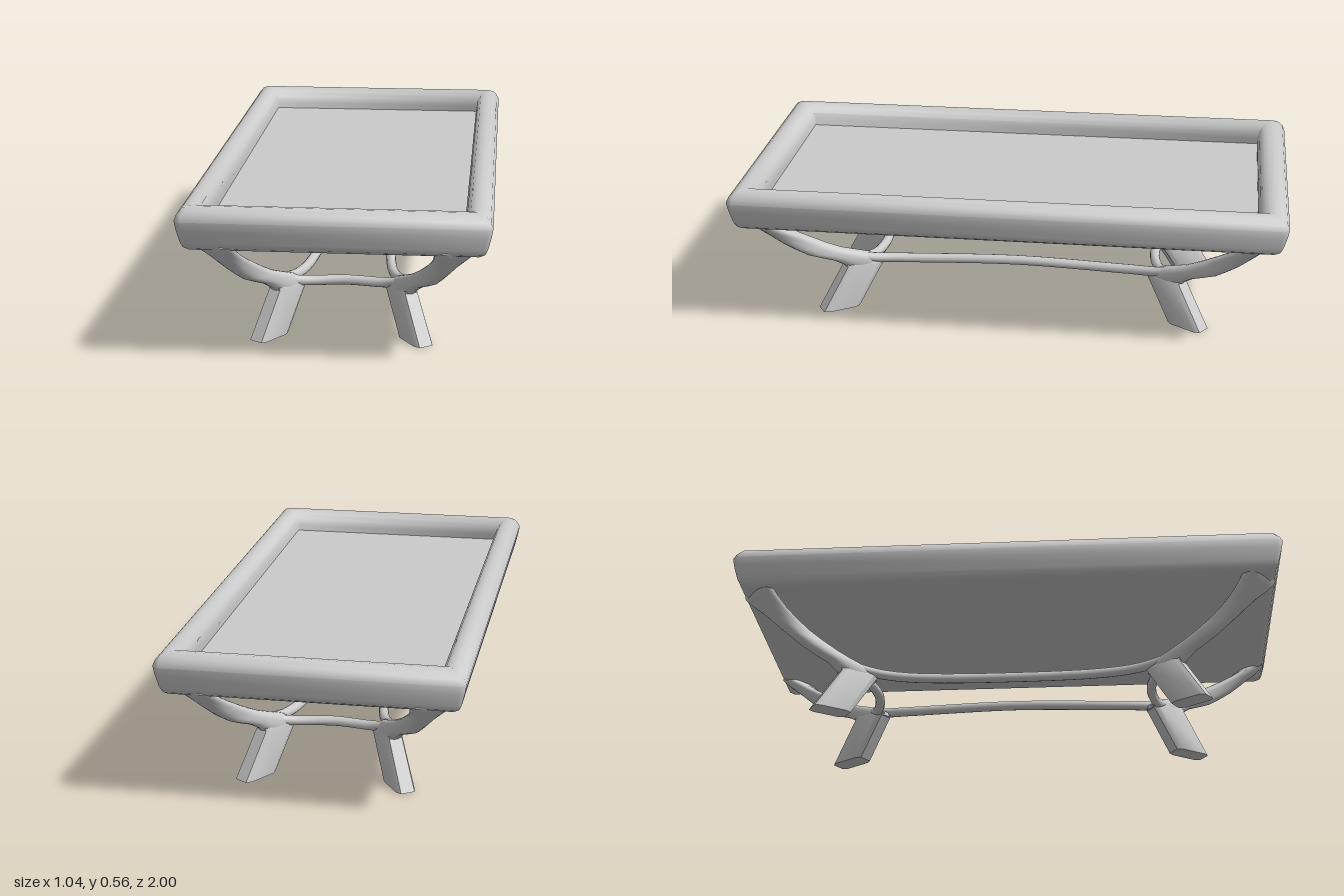
import * as THREE from 'three';
import { toCreasedNormals } from 'three/addons/utils/BufferGeometryUtils.js';

const grey = new THREE.MeshStandardMaterial({ color: 0xcccccc });

// Skin a list of closed rings; either join the last ring to the first or cap both ends
function loft(rings, closed, crease) {
  const n = rings[0].length, m = rings.length, index = [];
  const points = rings.flat();
  const rows = closed ? m : m - 1;
  for (let i = 0; i < rows; i++) {
    for (let j = 0; j < n; j++) {
      const a = i * n + j, b = i * n + (j + 1) % n;
      const k = ((i + 1) % m) * n;
      const c = k + j, d = k + (j + 1) % n;
      index.push(a, c, d, a, d, b);
    }
  }
  if (!closed) {
    const top = (m - 1) * n;
    for (let j = 1; j < n - 1; j++) {
      index.push(0, j, j + 1, top, top + j + 1, top + j);
    }
  }
  const geo = new THREE.BufferGeometry().setFromPoints(points);
  geo.setIndex(index);
  return toCreasedNormals(geo, crease);
}

function add(parent, name, geometry) {
  const mesh = new THREE.Mesh(geometry, grey);
  mesh.name = name;
  parent.add(mesh);
  return mesh;
}

// Horizontal section, long axis pointing out towards the table corner
function section([y, x, z, length, width], sx, sz, sides, power) {
  const dx = 0.55 * sx, dz = 0.835 * sz, ring = [];
  for (let j = 0; j < sides; j++) {
    const t = ((j + 0.5) / sides) * Math.PI * 2;
    const c = Math.cos(t), s = Math.sin(t);
    const u = Math.sign(c) * Math.abs(c) ** power * length / 2;
    const v = Math.sign(s) * Math.abs(s) ** power * width / 2;
    ring.push(new THREE.Vector3(x * sx + u * dx - v * dz, y, z * sz + u * dz + v * dx));
  }
  return ring;
}

// Rectangular ring of the rim, inset from the outside, with small corner chamfers
function rimRing([inset, y]) {
  const x = 0.522 - inset, z = 1 - inset * 1.13;
  const c = Math.max(0.02 - inset * 0.4, 0.0005);
  return [
    [x, -z + c], [x, z - c], [x - c, z], [-x + c, z],
    [-x, z - c], [-x, -z + c], [-x + c, -z], [x - c, -z],
  ].map(([px, pz]) => new THREE.Vector3(px, y, pz));
}

export function createModel() {
  const table = new THREE.Group();
  table.name = 'table';

  // Padded rim around the top
  const profile = [
    [0.094, 0.405], [0.04, 0.405], [0.024, 0.416], [0.016, 0.435], [0.005, 0.48], [0, 0.51],
    [0.008, 0.53], [0.022, 0.546], [0.042, 0.555], [0.06, 0.553], [0.076, 0.542],
    [0.088, 0.522], [0.094, 0.495],
  ];
  add(table, 'rim', loft(profile.map(rimRing), true, 0.85));

  // Top slab, recessed above and flush with the rim below
  add(table, 'topPanel', new THREE.BoxGeometry(0.856, 0.068, 1.788)).position.y = 0.439;

  // Curved arms and splayed legs: y, x, z, length, width per section
  const armSections = [
    [0.155, 0.198, 0.57, 0.145, 0.06], [0.172, 0.203, 0.577, 0.155, 0.068],
    [0.2, 0.23, 0.612, 0.155, 0.06], [0.22, 0.258, 0.658, 0.148, 0.056],
    [0.24, 0.286, 0.7, 0.14, 0.055], [0.27, 0.311, 0.747, 0.126, 0.056],
    [0.3, 0.333, 0.79, 0.114, 0.062], [0.33, 0.355, 0.827, 0.098, 0.08],
    [0.36, 0.376, 0.862, 0.084, 0.108], [0.39, 0.395, 0.895, 0.076, 0.145],
    [0.415, 0.41, 0.917, 0.072, 0.17], [0.43, 0.42, 0.925, 0.06, 0.12],
  ];
  const legSections = [
    [0, 0.258, 0.66, 0.148, 0.074], [0.165, 0.2, 0.573, 0.15, 0.07],
    [0.185, 0.207, 0.585, 0.13, 0.052],
  ];
  for (const sx of [1, -1]) {
    for (const sz of [1, -1]) {
      const corner = (sz > 0 ? 'front' : 'back') + (sx > 0 ? 'Left' : 'Right');
      add(table, corner + 'Arm', loft(armSections.map(s => section(s, sx, sz, 20, 0.75)), false, 0.9));
      add(table, corner + 'Leg', loft(legSections.map(s => section(s, sx, sz, 8, 0.38)), false, 0.6));
    }
  }

  // Slim rails between the legs, bowed inwards and rising into the arms
  const rail = (name, half, mirror) => {
    const path = [...half, ...half.slice(0, -1).reverse().map(mirror)];
    const curve = new THREE.CatmullRomCurve3(path.map(p => new THREE.Vector3(...p)));
    return add(table, name, new THREE.TubeGeometry(curve, 48, 0.018, 12));
  };
  for (const s of [1, -1]) {
    rail(s > 0 ? 'leftRail' : 'rightRail',
      [[0.255 * s, 0.225, 0.66], [0.205 * s, 0.188, 0.555], [0.163 * s, 0.173, 0.42], [0.132 * s, 0.172, 0]],
      ([x, y, z]) => [x, y, -z]);
    rail(s > 0 ? 'frontRail' : 'backRail',
      [[0.25, 0.22, 0.645 * s], [0.2, 0.188, 0.583 * s], [0.14, 0.172, 0.545 * s], [0, 0.17, 0.52 * s]],
      ([x, y, z]) => [-x, y, z]);
  }
  return table;
}
